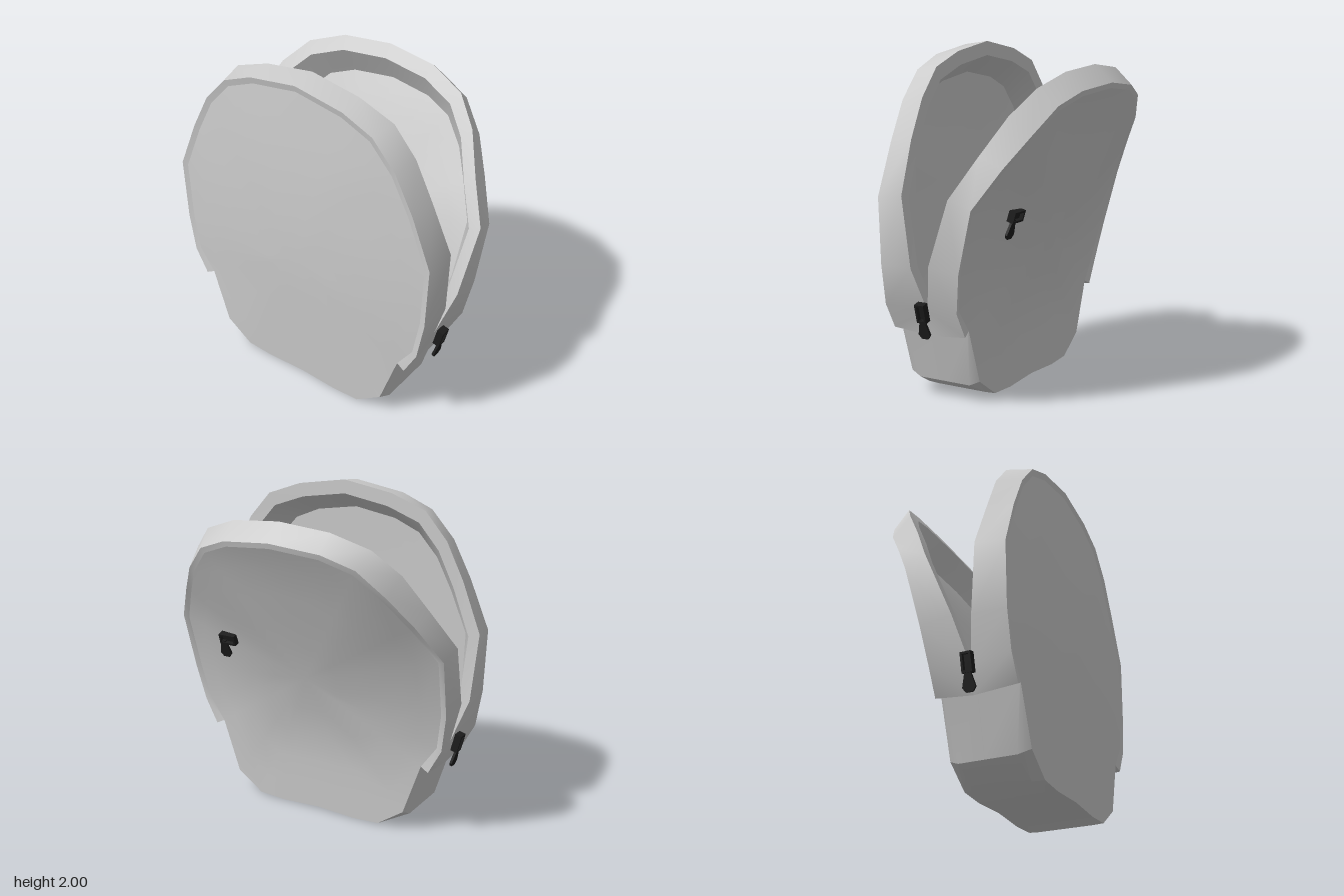
import * as THREE from 'three';
import { toCreasedNormals } from 'three/addons/utils/BufferGeometryUtils.js';

const grey = new THREE.MeshStandardMaterial({ color: 0xcccccc, side: THREE.DoubleSide });
const dark = new THREE.MeshStandardMaterial({ color: 0x1c1c1c });

const CY = 0.9;   // height of the centre the panels shrink towards
const MID = -0.22; // x of the zip line where both halves meet

const mirror = ([x, y, z]) => [x, y, -z];
const mix = (a, b, t) => a.map((v, i) => v + (b[i] - v) * t);
// Half outlines run from the top centre down the +z side.
const arch = half => [...half.slice(1).reverse().map(mirror), ...half];
const cradle = half => [...half, ...half.slice(0, -1).reverse().map(mirror)];
const closed = half => [...half, ...half.slice(1, -1).reverse().map(mirror), half[0]];

// Surface through a list of equally long point columns
function loft(name, columns, crease = 0.6) {
  const n = columns[0].length, index = [];
  for (let c = 0; c < columns.length - 1; c++)
    for (let r = 0; r < n - 1; r++) {
      const a = c * n + r, b = a + n;
      index.push(a, b, a + 1, b, b + 1, a + 1);
    }
  const g = new THREE.BufferGeometry();
  g.setAttribute('position', new THREE.Float32BufferAttribute(columns.flat(2), 3));
  g.setIndex(index);
  const mesh = new THREE.Mesh(toCreasedNormals(g, crease), grey);
  mesh.name = name;
  return mesh;
}

// Linear lookup of x by height in rising [y, x] pairs
function lookup(profile, y) {
  for (let i = 1; i < profile.length; i++) {
    const [y0, x0] = profile[i - 1], [y1, x1] = profile[i];
    if (y <= y1 || i === profile.length - 1) return x0 + (x1 - x0) * (y - y0) / (y1 - y0);
  }
}

// Rim outlines: z and y are listed from the top to the lower end of the band
const innerZ = [0, 0.31, 0.53, 0.67, 0.78, 0.9, 0.87, 0.78, 0.745];
const outerZ = [0, 0.31, 0.5, 0.645, 0.76, 0.88, 0.865, 0.825, 0.745];
const outline = (xs, ys, zs) => zs.map((z, i) => [xs[i], ys[i], z]);

const halves = {
  back: {
    inward: 1,
    inner: outline([-0.31, -0.31, -0.31, -0.31, -0.31, -0.295, -0.265, MID, MID],
      [2, 1.95, 1.87, 1.71, 1.49, 1.2, 0.8, 0.55, 0.4], innerZ),
    outer: outline([-0.46, -0.46, -0.46, -0.46, -0.46, -0.465, -0.465, -0.47, -0.47],
      [1.98, 1.93, 1.85, 1.69, 1.47, 1.18, 0.8, 0.57, 0.42], outerZ),
    profile: [[0, -0.47], [0.4, -0.49], [0.8, -0.51], [1.1, -0.51], [1.5, -0.495], [2, -0.455]],
    footX: -0.47,
  },
  front: {
    inward: -1,
    inner: outline([0.4, 0.38, 0.325, 0.235, 0.115, 0, -0.15, MID, MID],
      [1.88, 1.85, 1.77, 1.63, 1.42, 1.2, 0.82, 0.55, 0.4], innerZ),
    outer: outline([0.51, 0.485, 0.44, 0.36, 0.25, 0.13, 0.04, 0, 0],
      [1.78, 1.75, 1.68, 1.53, 1.36, 1.15, 0.8, 0.57, 0.42], outerZ),
    profile: [[0, -0.01], [0.45, 0.01], [0.8, 0.1], [1.1, 0.21], [1.6, 0.41], [1.78, 0.5]],
    footX: -0.01,
  },
};

// Edge shrunk by t, easing from its own depth to the profile moved by offset
function shrink(edge, profile, t, offset) {
  return edge.map(([x, y, z]) => {
    const yy = CY + (y - CY) * t;
    const bulge = x - offset - lookup(profile, y);
    return [lookup(profile, yy) + offset + bulge * t * t, yy, z * t];
  });
}
function panel(name, edge, profile, offset) {
  const steps = [1, 0.85, 0.65, 0.45, 0.25, 0];
  return loft(name, steps.map(t => closed(shrink(edge, profile, t, offset))));
}

// Zip slider with a tapered pull hanging from it; faces +x
function zipPull(name, along) {
  const group = new THREE.Group();
  group.name = name;
  const add = (geo, x, y, z) => {
    const m = new THREE.Mesh(geo, dark);
    m.position.set(x, y, z);
    group.add(m);
    return m;
  };
  const [h, w] = along ? [0.065, 0.11] : [0.11, 0.06];
  const frame = new THREE.Shape([[-w, -h], [w, -h], [w, h], [-w, h]].map(([a, b]) => new THREE.Vector2(a / 2, b / 2)));
  add(new THREE.BoxGeometry(0.02, h, w), -0.01, 0, 0);
  frame.holes.push(new THREE.Path([[-1, -1], [-1, 1], [1, 1], [1, -1]]
    .map(([a, b]) => new THREE.Vector2(a * (w / 2 - 0.012), b * (h / 2 - 0.012)))));
  add(new THREE.ExtrudeGeometry(frame, { depth: 0.022, bevelEnabled: false }), 0, 0, 0).rotation.y = Math.PI / 2;
  const tab = new THREE.Shape([[-0.014, 0.055], [0.014, 0.055], [0.038, -0.035], [0.02, -0.06], [-0.02, -0.06], [-0.038, -0.035]]
    .reverse().map(([a, b]) => new THREE.Vector2(a, b)));
  const pull = add(new THREE.ExtrudeGeometry(tab, { depth: 0.014, bevelEnabled: false }),
    0.002, along ? -0.068 : -0.095, along ? 0.035 : 0);
  pull.rotation.y = Math.PI / 2;
  return group;
}

export function createModel() {
  const bag = new THREE.Group();
  bag.name = 'openBag';

  // The two halves: outer panel, rim, lining and the flange joining rim to lining
  for (const [name, h] of Object.entries(halves)) {
    const rimEdge = h.outer.map(([x, y, z]) => [x + 0.008 * h.inward, CY + (y - CY) * 0.965, z * 0.96]);
    rimEdge[8] = [rimEdge[8][0], 0.445, 0.695];
    const foot = h.footX;
    h.edge = [...rimEdge, [foot, 0.125, 0.585], [foot, 0.01, 0.42], [foot, 0, 0.25], [foot, 0.013, 0]];

    const offset = 0.05 * h.inward, floorX = foot + 0.09 * h.inward;
    h.lining = [...shrink(rimEdge, h.profile, 0.88, offset),
      [floorX, 0.14, 0.57], [floorX, 0.05, 0.4], [floorX, 0.045, 0.25], [floorX, 0.05, 0]];
    const mouth = h.inner.map(([x, y]) => [y, x]).reverse();
    h.lip = h.inner.map(([, y, z]) => {
      const yy = CY + (y - CY) * 0.925;
      return [lookup(mouth, yy), yy, z * 0.925];
    });
    bag.add(
      panel(name + 'Panel', h.edge, h.profile, 0),
      loft(name + 'Rim', [rimEdge, h.outer, h.inner].map(arch)),
      panel(name + 'Lining', h.lining, h.profile, offset),
      loft(name + 'Flange', [h.inner, h.lip, h.lining].map(c => arch(c.slice(0, 8)))),
    );
  }
  const { back, front } = halves;

  // Lower body between the panels, starting under the band
  const bodyRows = [[0.445, 0.695], [0.1, 0.605], [0.01, 0.43], [0, 0.25], [0.013, 0]];
  const bodyColumn = (xTop, xLow, start) => [start, ...bodyRows.map(([y, z], i) => [i ? xLow : xTop, y, z])];
  const edgeColumn = h => [h.outer[8], ...h.edge.slice(8)];
  bag.add(loft('lowerBody', [
    edgeColumn(back),
    bodyColumn(-0.455, -0.4, mix(back.outer[8], back.inner[8], 0.1)),
    bodyColumn(MID, MID, back.inner[8]),
    bodyColumn(-0.02, -0.065, mix(front.outer[8], front.inner[8], 0.1)),
    edgeColumn(front),
  ].map(cradle), 0.5));

  // Inner floor and side walls
  const low = h => h.lining.slice(7);
  const middle = low(back).map((p, i) => i ? mix(p, low(front)[i], 0.5) : mix(back.lip[7], front.lip[7], 0.5));
  bag.add(loft('innerFloor', [low(back), middle, low(front)].map(cradle), 0.4));

  // Zip pulls at both ends of the opening
  for (const side of [1, -1]) {
    const zip = zipPull('sideZipPull', false);
    zip.rotation.order = 'YXZ';
    zip.rotation.set(0, -side * Math.PI / 2, -0.25);
    zip.position.set(MID - 0.005, 0.55, side * 0.825);
    bag.add(zip);
  }

  // Zip pull on the front panel
  const pocketZip = zipPull('panelZipPull', true);
  pocketZip.position.set(0.183, 1.075, 0.505);
  pocketZip.rotation.z = -0.3;
  bag.add(pocketZip);

  return bag;
}
